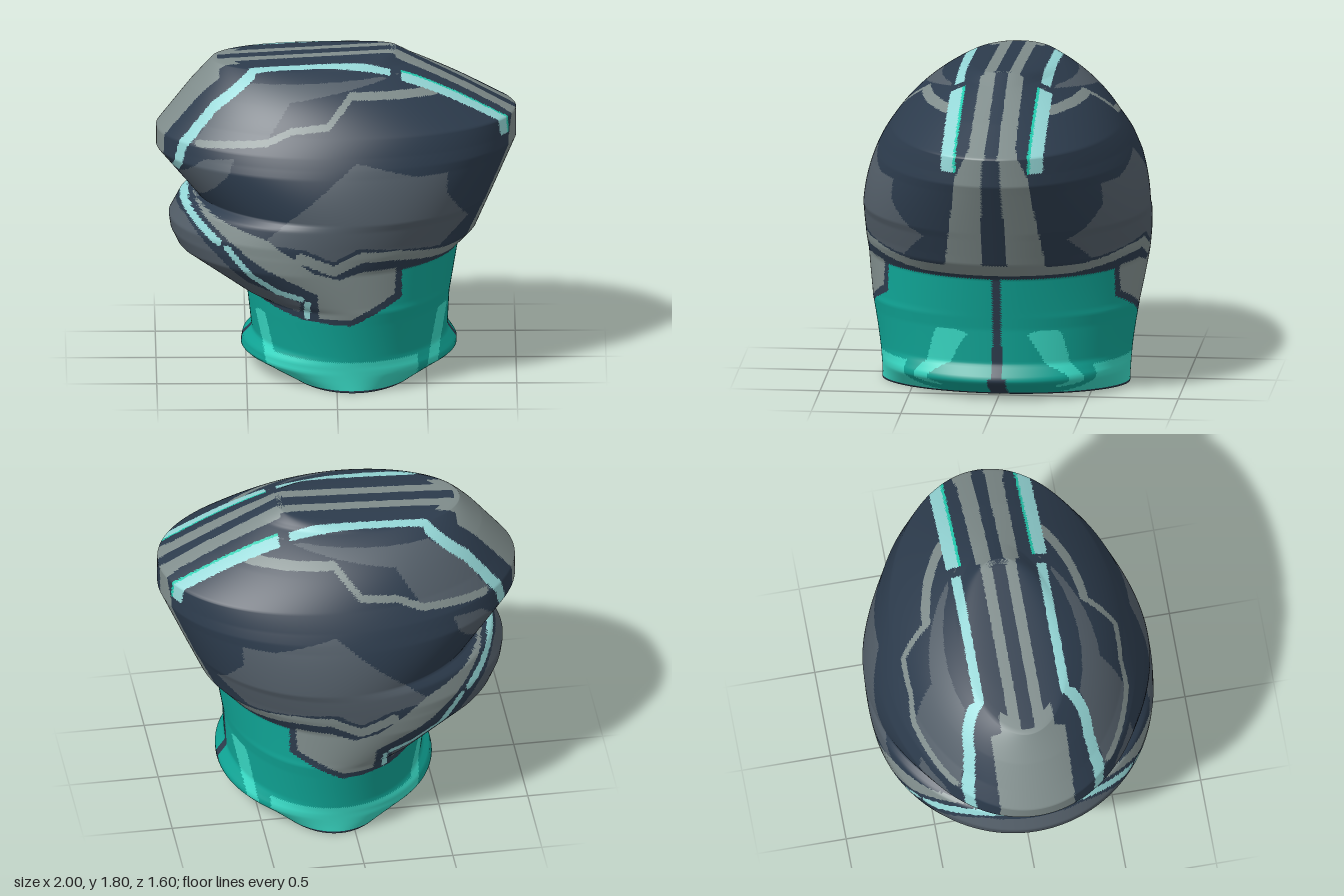
import * as THREE from 'three';

const material = (name, color) => {
  const m = new THREE.MeshStandardMaterial({ color, side: THREE.DoubleSide });
  m.name = name;
  return m;
};

// Piecewise linear lookup through [key, value] pairs
function lerpTable(table, k) {
  if (k <= table[0][0]) return table[0][1];
  for (let i = 1; i < table.length; i++) {
    const [k0, v0] = table[i - 1], [k1, v1] = table[i];
    if (k <= k1) return v0 + (v1 - v0) * (k - k0) / (k1 - k0);
  }
  return table[table.length - 1][1];
}

function inside(poly, x, y) {
  let hit = false;
  for (let i = 0, j = poly.length - 1; i < poly.length; j = i++) {
    const [xi, yi] = poly[i], [xj, yj] = poly[j];
    if ((yi > y) !== (yj > y) && x < (xj - xi) * (y - yi) / (yj - yi) + xi) hit = !hit;
  }
  return hit;
}

function nearLine(line, halfWidth, x, y) {
  for (let i = 1; i < line.length; i++) {
    const [ax, ay] = line[i - 1], dx = line[i][0] - ax, dy = line[i][1] - ay;
    const t = Math.min(1, Math.max(0, ((x - ax) * dx + (y - ay) * dy) / (dx * dx + dy * dy)));
    if (Math.hypot(x - ax - t * dx, y - ay - t * dy) < halfWidth) return true;
  }
  return false;
}

// Helmet outline: x of both ends, as [y, x]
const leftEdge = [[0, -.3], [.05, -.42], [.1, -.53], [.15, -.52], [.2, -.47], [.47, -.5], [.5, -.57],
  [.7, -.88], [.78, -.92], [.85, -.93], [.96, -.87], [1, -.78], [1.25, -1], [1.36, -1],
  [1.6, -.815], [1.745, -.69], [1.76, -.45], [1.8, .3]];
const rightEdge = [[0, .47], [.1, .67], [.13, .67], [.2, .62], [.4, .63], [.7, .68],
  [.8, .78], [1.3, 1], [1.46, 1], [1.6, .74], [1.8, .34]];

// Half depth: gently flared neck below a round dome
const depthAt = y => y < .95 ? .69 + .11 * THREE.MathUtils.smoothstep(y, 0, .95)
  : .8 * Math.sqrt(1 - ((y - .95) / .853) ** 2);

// Side panels, chin and cheek
const lowerPanel = [[-.42, .88], [.11, 1.34], [.44, 1.25], [.62, 1.25], [.61, 1.14], [.73, .95],
  [.57, .81], [.12, .865], [-.02, .79], [-.18, .86]];
const rearPanel = [[-.88, 1.17], [-.74, 1.3], [-.57, 1.33], [-.6, 1.24], [-.78, 1.02]];
const upperPanel = [[-.8, 1.37], [-.66, 1.56], [-.47, 1.69], [.36, 1.72], [-.26, 1.62], [-.4, 1.42]];
const chinPanel = [[-1, .94], [-.84, .92], [-.5, .62], [-.2, .53], [-.21, .46], [-.48, .505], [-1, .5]];
const cheekPanel = [[-.8, 1], [-.39, .9], [-.12, .72], [.01, .68], [.14, .72], [.33, .72], [.32, .57],
  [.08, .44], [-.1, .44], [-.11, .59], [-.42, .74]];

// Centre lines of the trims and stripes
const browLine = [[-.77, 1.375], [-.39, 1.425], [-.25, 1.49], [-.05, 1.515], [.08, 1.65], [.55, 1.635]];
const rimLine = [[-.2, .81], [-.02, .735], [.14, .81], [.35, .8], [.6, .755], [1, .765]];
const rearStripe = [[-.89, 1.2], [-.855, 1.35], [-.68, 1.56], [-.47, 1.725]];
const chinStripe = [[-.61, .82], [-.47, .67], [-.33, .585], [-.2, .555]];
const chinStripeEnd = [[-.85, .97], [-.66, .845]];
const cheekMark = [[-.165, .53], [-.165, .44]];
const neckMarks = [[[-.42, .36], [-.36, .1]], [[.585, .37], [.53, .09]]];

const neckTop = [[-.51, .485], [-.2, .42], [.08, .4], [.36, .545], [.361, .7]];
const crestWidth = [[.74, .29], [1.35, .2], [1.5, .13], [1.8, .12]];

// Part painted on the side of the helmet
function sidePart(x, y, d) {
  if (nearLine(rearStripe, .022, x, y) || nearLine(chinStripe, .018, x, y)
    || nearLine(chinStripeEnd, .022, x, y) || nearLine(cheekMark, .017, x, y)) return 'paleStripe';
  if (nearLine(browLine, .017, x, y) || nearLine(rimLine, .03, x, y) || inside(cheekPanel, x, y)) return 'greyTrim';
  if (inside(chinPanel, x, y)) return 'chinPanel';
  if ([lowerPanel, rearPanel, upperPanel].some(p => inside(p, x, y))) return 'sidePanel';
  if (y > lerpTable(neckTop, x) || d < (y < .13 ? .05 : .025)) return 'shell';
  if (y < .18 && x > -.36 && x < .45 || neckMarks.some(m => nearLine(m, .028, x, y))) return 'neckHighlight';
  return 'neckGuard';
}

function partAt(x, y, d) {
  if (y < .014) return 'shell';
  const part = sidePart(x, y, d);
  // Crest down the +x end, with its dark groove and the stripes beside it
  if (x > .33 && y > .74) {
    const w = lerpTable(crestWidth, y);
    if (y > .8 && d < (y < 1.45 ? .075 - (y - .74) * .04 : .035)) return 'shell';
    if (d < w) return 'greyTrim';
    if (y > 1.37 && x > .36 && d > .2 && d < .285) return d < .215 ? 'stripeEdge' : 'paleStripe';
    if (y > .8 && d < w + .03) return 'shell';
  } else if (x > -.65 && y > 1.6) {
    // Twin bands and stripes along the top
    if (d < .038) return 'shell';
    if (d < (x < -.55 ? .15 : .1)) return 'greyTrim';
    if (x > -.47 && x < .3 && d > .215 && d < .268) return 'paleStripe';
    if (d < .29 && part !== 'paleStripe') return 'shell';
  } else if (x < -.65 && y > 1.02 && d < Math.min(.21, .08 + (y - 1.02) * .8)) {
    // Broad plate on the -x end
    return 'greyTrim';
  }
  return part;
}

export function createModel() {
  const group = new THREE.Group();
  group.name = 'helmet';
  const ROWS = 230, COLS = 300;

  // Stacked elliptical sections, finer towards the crown
  const positions = [];
  for (let i = 0; i <= ROWS; i++) {
    const y = 1.8 * (1 - (1 - i / ROWS) ** 1.5);
    const x0 = lerpTable(leftEdge, y), x1 = lerpTable(rightEdge, y);
    const depth = i === ROWS ? 0 : depthAt(y);
    for (let j = 0; j < COLS; j++) {
      const t = j / COLS * Math.PI * 2;
      positions.push((x0 + x1) / 2 + (x1 - x0) / 2 * Math.cos(t), y, depth * Math.sin(t));
    }
  }

  // Sort the faces into painted parts
  const faces = {}, all = [];
  const addFace = (...ids) => {
    const [x, y, z] = [0, 1, 2].map(k => ids.reduce((sum, id) => sum + positions[id * 3 + k], 0) / 3);
    (faces[partAt(x, y, Math.abs(z))] ??= []).push(...ids);
    all.push(...ids);
  };
  for (let i = 0; i < ROWS; i++) {
    for (let j = 0; j < COLS; j++) {
      const a = i * COLS + j, c = i * COLS + (j + 1) % COLS;
      addFace(a, a + COLS, c);
      addFace(c, a + COLS, c + COLS);
    }
  }

  // Normals are shared so the shell stays smooth across colours
  const whole = new THREE.BufferGeometry();
  whole.setAttribute('position', new THREE.Float32BufferAttribute(positions, 3));
  whole.setIndex(all);
  whole.computeVertexNormals();

  const slate = material('slate', 0x525d67);
  const materials = {
    shell: material('navy', 0x2c3b4c),
    sidePanel: slate,
    chinPanel: slate,
    greyTrim: material('warm grey', 0x7f8c8b),
    paleStripe: material('pale cyan', 0x94d6d6),
    stripeEdge: material('turquoise', 0x22cdb0),
    neckGuard: material('teal', 0x0fa394),
    neckHighlight: material('light teal', 0x38d8c3),
  };
  for (const name in faces) {
    const geometry = new THREE.BufferGeometry();
    geometry.setAttribute('position', whole.getAttribute('position'));
    geometry.setAttribute('normal', whole.getAttribute('normal'));
    geometry.setIndex(faces[name]);
    const mesh = new THREE.Mesh(geometry, materials[name]);
    mesh.name = name;
    group.add(mesh);
  }
  return group;
}
